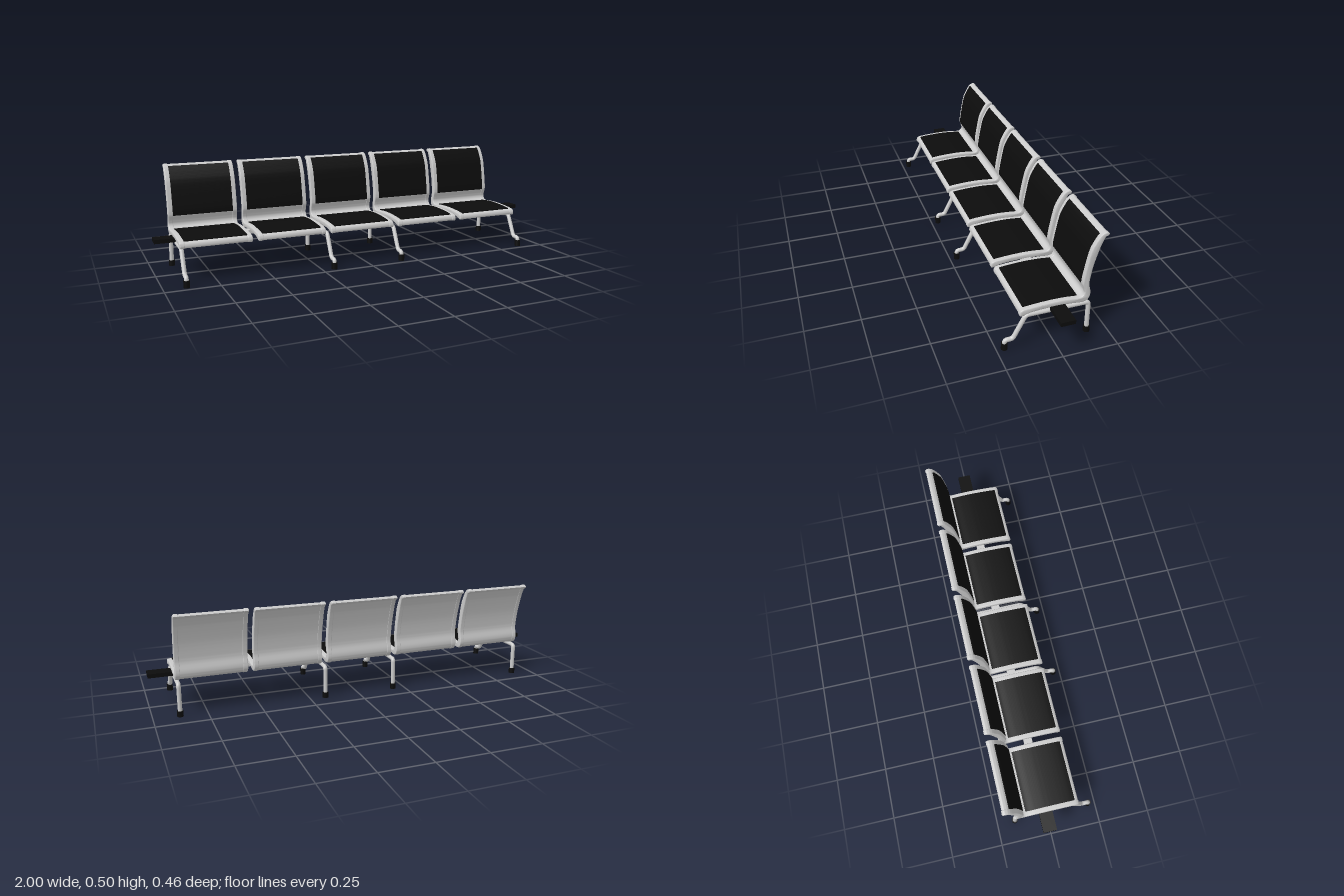
import * as THREE from 'three';
import { toCreasedNormals } from 'three/addons/utils/BufferGeometryUtils.js';

const grey = new THREE.MeshStandardMaterial({ color: 0xcccccc });
const black = new THREE.MeshStandardMaterial({ color: 0x0c0c0c });

const SEATS = 5, PITCH = 0.365, SEAT_W = 0.338, RAIL_W = 0.025, OFFSET = -0.01;

// Samples a smooth curve through [z, y] points
function smooth(points, n) {
  return new THREE.SplineCurve(points.map(p => new THREE.Vector2(...p))).getSpacedPoints(n);
}

// Sitting side of the seat profile, front lip to top of the back
const upper = smooth([
  [0.154, 0.166], [0.151, 0.181], [0.137, 0.19], [0.08, 0.196], [0, 0.199], [-0.06, 0.197],
  [-0.105, 0.193], [-0.125, 0.197], [-0.135, 0.215], [-0.129, 0.24], [-0.124, 0.262],
  [-0.130, 0.31], [-0.149, 0.407], [-0.168, 0.451], [-0.188, 0.482], [-0.205, 0.494],
  [-0.219, 0.494], [-0.227, 0.486]], 90);
// Underside and rear of the same profile, top of the back to the front lip
const lower = smooth([
  [-0.227, 0.486], [-0.222, 0.477], [-0.211, 0.474], [-0.203, 0.458], [-0.19, 0.425],
  [-0.167, 0.345], [-0.156, 0.28], [-0.155, 0.25], [-0.162, 0.215], [-0.16, 0.19],
  [-0.148, 0.173], [-0.122, 0.167], [-0.07, 0.172], [0, 0.175], [0.06, 0.173],
  [0.11, 0.168], [0.138, 0.159], [0.150, 0.159], [0.154, 0.166]], 90);
const outline = [...upper.slice(0, -1), ...lower.slice(0, -1)];

// Extrudes a [z, y] outline along x, centred on x = 0
function extrudeX(points, width, bevel, inset = 0) {
  const geo = new THREE.ExtrudeGeometry(new THREE.Shape(points), {
    depth: width - 2 * bevel, steps: 1, bevelEnabled: bevel > 0 || inset > 0, bevelThickness: bevel,
    bevelSize: bevel, bevelOffset: -bevel - inset, bevelSegments: bevel > 0 ? 3 : 1,
  });
  geo.translate(0, 0, bevel - width / 2 - bevel).rotateY(-Math.PI / 2);
  geo.computeBoundingBox();
  const b = geo.boundingBox;
  geo.translate(-(b.min.x + b.max.x) / 2, 0, 0);
  return toCreasedNormals(geo, 0.7);
}

// Thin pad following the stretch of the sitting side chosen by the test
function padGeometry(test, width) {
  const top = [], bottom = [];
  upper.forEach((p, i) => {
    if (!test(p)) return;
    const t = upper[Math.min(i + 1, upper.length - 1)].clone().sub(upper[Math.max(i - 1, 0)]).normalize();
    const n = new THREE.Vector2(t.y, -t.x);
    top.push(p.clone().addScaledVector(n, 0.002));
    bottom.unshift(p.clone().addScaledVector(n, -0.005));
  });
  return extrudeX([...top, ...bottom], width, 0);
}

// Path through [z, y] corners, each rounded by a radius
function roundedPath(corners, radius) {
  const pts = corners.map(([z, y]) => new THREE.Vector3(0, y, z));
  const path = new THREE.CurvePath();
  let last = pts[0];
  for (let i = 1; i < pts.length - 1; i++) {
    const toward = q => {
      const d = q.clone().sub(pts[i]);
      return pts[i].clone().addScaledVector(d.normalize(), radius);
    };
    const a = toward(pts[i - 1]), b = toward(pts[i + 1]);
    path.add(new THREE.LineCurve3(last, a));
    path.add(new THREE.QuadraticBezierCurve3(a, pts[i], b));
    last = b;
  }
  path.add(new THREE.LineCurve3(last, pts[pts.length - 1]));
  return path;
}

function add(parent, name, geometry, material, x = 0, y = 0, z = 0) {
  const mesh = new THREE.Mesh(geometry, material);
  mesh.name = name;
  mesh.position.set(x, y, z);
  parent.add(mesh);
  return mesh;
}

export function createModel() {
  const bench = new THREE.Group();
  bench.name = 'bench';

  // Seats: two side rails, a shell between them and two black pads
  const rail = extrudeX(outline, RAIL_W, 0.006);
  const shell = extrudeX(outline, SEAT_W - RAIL_W, 0, 0.002);
  const padW = SEAT_W - 2 * RAIL_W + 0.004;
  const seatPad = padGeometry(p => p.x < 0.135 && p.x > -0.113 && p.y < 0.21, padW);
  const backPad = padGeometry(p => p.y > 0.248 && p.x > -0.196, padW);
  for (let i = 0; i < SEATS; i++) {
    const seat = new THREE.Group();
    seat.name = 'seat';
    seat.position.x = OFFSET + (i - (SEATS - 1) / 2) * PITCH;
    for (const s of [-1, 1]) {
      add(seat, s > 0 ? 'leftRail' : 'rightRail', rail, grey, s * (SEAT_W - RAIL_W) / 2);
    }
    add(seat, 'shell', shell, grey);
    add(seat, 'seatPad', seatPad, black);
    add(seat, 'backPad', backPad, black);
    bench.add(seat);
  }

  // Beam under the seats
  add(bench, 'beam', new THREE.BoxGeometry(1.78, 0.018, 0.042), grey, OFFSET, 0.17, -0.016);

  // Small side plates at both ends
  for (const s of [-1, 1]) {
    add(bench, 'sidePlate', new THREE.BoxGeometry(0.115, 0.019, 0.066), black, s * 0.9425, 0.17, -0.014);
  }

  // Bent tube legs with black feet
  const legPath = roundedPath([
    [-0.161, 0.015], [-0.161, 0.155], [0.122, 0.155], [0.178, 0.045], [0.215, 0.045], [0.215, 0.015]], 0.014);
  const tube = new THREE.TubeGeometry(legPath, 110, 0.0103, 14);
  const rearFoot = new THREE.CylinderGeometry(0.0148, 0.0148, 0.027, 20);
  const frontFoot = new THREE.CylinderGeometry(0.0145, 0.0145, 0.032, 20);
  for (const x of [-0.897, -0.19, 0.172, 0.877]) {
    const leg = new THREE.Group();
    leg.name = 'leg';
    leg.position.x = x;
    add(leg, 'legTube', tube, grey);
    add(leg, 'rearFoot', rearFoot, black, 0, 0.0135, -0.161);
    add(leg, 'frontFoot', frontFoot, black, 0, 0.016, 0.215);
    bench.add(leg);
  }
  return bench;
}
